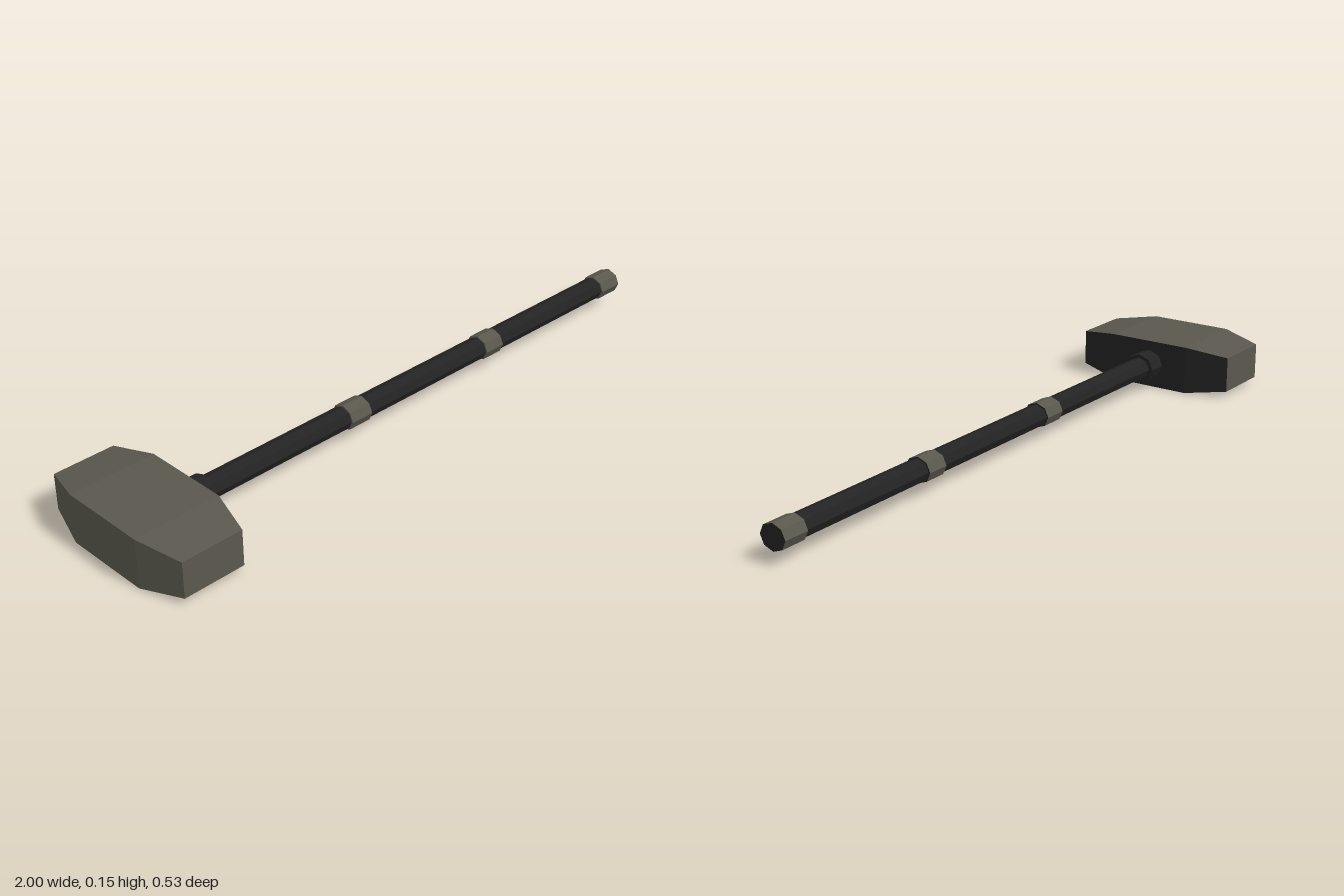
import * as THREE from 'three';

const AXIS_Y = 0.075;

export function createModel() {
  const steel = new THREE.MeshStandardMaterial({ color: 0x5a584d, flatShading: true });
  steel.name = 'olive steel';
  const black = new THREE.MeshStandardMaterial({ color: 0x232323, flatShading: true });
  black.name = 'black grip';

  const model = new THREE.Group();
  model.name = 'sledgehammer';

  // Head: rectangular sections along z, tapered to both striking faces
  const section = (z, x0, x1, y0, y1) =>
    [[x0, y0, z], [x1, y0, z], [x1, y1, z], [x0, y1, z]];
  const rings = [
    section(-0.265, -0.96, -0.77, 0.02, 0.13),
    section(-0.133, -1, -0.735, 0, 0.15),
    section(0.133, -1, -0.735, 0, 0.15),
    section(0.265, -0.96, -0.77, 0.02, 0.13),
  ];
  const positions = [];
  const head = new THREE.BufferGeometry();
  const quad = (a, b, c, d, material) => {
    head.addGroup(positions.length / 3, 6, material);
    for (const p of [a, b, c, a, c, d]) positions.push(...p);
  };
  for (let i = 0; i < 3; i++) {
    for (let j = 0; j < 4; j++) {
      const k = (j + 1) % 4;
      // side 1 faces the handle and is black
      quad(rings[i][j], rings[i][k], rings[i + 1][k], rings[i + 1][j], j === 1 ? 1 : 0);
    }
  }
  const [first, last] = [rings[0], rings[3]];
  quad(first[3], first[2], first[1], first[0], 0);
  quad(last[0], last[1], last[2], last[3], 0);
  head.setAttribute('position', new THREE.Float32BufferAttribute(positions, 3));
  head.computeVertexNormals();
  const headMesh = new THREE.Mesh(head, [steel, black]);
  headMesh.name = 'head';
  model.add(headMesh);

  // Octagonal bars along x, slightly wider than tall
  const bar = (name, x0, x1, radius, materials) => {
    const geometry = new THREE.CylinderGeometry(radius, radius, x1 - x0, 8);
    geometry.rotateZ(-Math.PI / 2);
    geometry.scale(1, 0.9, 1);
    geometry.translate((x0 + x1) / 2, AXIS_Y, 0);
    const mesh = new THREE.Mesh(geometry, materials);
    mesh.name = name;
    model.add(mesh);
  };
  bar('handle', -0.74, 0.98, 0.037, black);
  bar('collar', -0.74, -0.675, 0.05, black);

  // Bands and pommel with black end faces toward +x
  const bandMaterials = [steel, black, steel];
  bar('innerBand', -0.18, -0.105, 0.042, bandMaterials);
  bar('outerBand', 0.375, 0.445, 0.042, bandMaterials);
  bar('pommel', 0.92, 1, 0.042, bandMaterials);

  return model;
}
